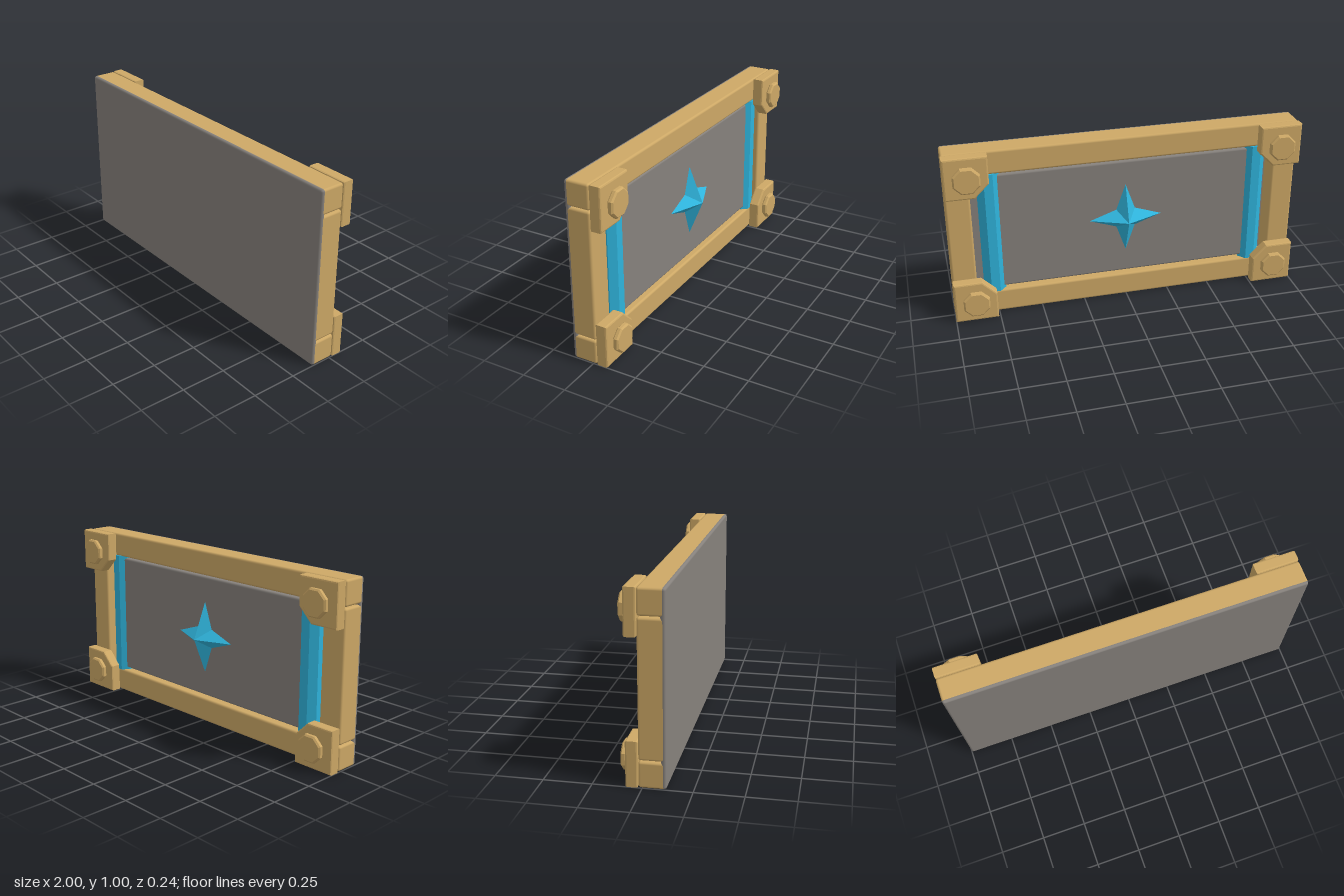
import * as THREE from 'three';
import { RoundedBoxGeometry } from 'three/addons/geometries/RoundedBoxGeometry.js';

const mat = (color, flatShading = false) => {
  const m = new THREE.MeshStandardMaterial({ color });
  m.flatShading = flatShading;
  return m;
};
const wood = mat(0xcda866);
const woodFlat = mat(0xcda866, true);
const stone = mat(0x86817c);
const blue = mat(0x2fb4dc, true);

export function createModel() {
  const root = new THREE.Group();
  const add = (name, geometry, material, x = 0, y = 0, z = 0) => {
    const mesh = new THREE.Mesh(geometry, material);
    mesh.name = name;
    mesh.position.set(x, y, z);
    root.add(mesh);
    return mesh;
  };
  // Rounded box given by its limits
  const block = (name, material, r, x0, x1, y0, y1, z0, z1) => add(name,
    new RoundedBoxGeometry(x1 - x0, y1 - y0, z1 - z0, 2, r), material,
    (x0 + x1) / 2, (y0 + y1) / 2, (z0 + z1) / 2);

  // Front slab and the raised panel behind it
  block('frontSlab', stone, 0.013, -1, 1, 0, 1, 0.092, 0.12);
  block('backPanel', stone, 0.012, -0.8, 0.8, 0.15, 0.85, 0, 0.11);

  // Frame rails
  block('bottomRail', wood, 0.013, -1, 1, 0, 0.137, -0.02, 0.116);
  block('topRail', wood, 0.013, -1, 1, 0.863, 1, -0.02, 0.116);

  // Bolt head profile, turned with eight sides
  const boltProfile = [[0, 0], [0.07, 0], [0.079, 0.008], [0.079, 0.024], [0.07, 0.032], [0, 0.032]]
    .map(([r, h]) => new THREE.Vector2(r, h));
  const boltGeometry = new THREE.LatheGeometry(boltProfile, 8, Math.PI / 8);
  boltGeometry.rotateX(-Math.PI / 2);

  for (const sx of [-1, 1]) {
    const side = sx > 0 ? 'left' : 'right';

    // Side posts and octagonal blue bars
    const post = block(side + 'Post', wood, 0.013, 0.863, 1, 0.143, 0.857, -0.02, 0.116);
    post.position.x *= sx;
    const bar = new THREE.CylinderGeometry(0.065, 0.065, 0.73, 8, 1, false, Math.PI / 8);
    add(side + 'Bar', bar, blue, sx * 0.76, 0.5, 0.035);

    // Corner plates with a cut inner corner, each with a bolt
    for (const sy of [-1, 1]) {
      const corner = (sy > 0 ? 'top' : 'bottom') + (sx > 0 ? 'Left' : 'Right');
      const outline = [[-0.12, 0.12], [0.12, 0.12], [0.12, -0.12], [-0.04, -0.12], [-0.12, -0.04]]
        .map(([x, y]) => new THREE.Vector2(x * sx, y * sy));
      const plate = new THREE.ExtrudeGeometry(new THREE.Shape(outline), {
        depth: 0.047, bevelThickness: 0.009, bevelSize: 0.009, bevelOffset: -0.009, bevelSegments: 2,
      });
      const cy = 0.5 + sy * 0.38;
      add(corner + 'Plate', plate, woodFlat, sx * 0.88, cy, -0.076);
      add(corner + 'Bolt', boltGeometry, woodFlat, sx * 0.88, cy, -0.088);
    }
  }

  // Four-pointed star rising to a peak
  const starPoints = [];
  const rim = (i) => {
    const r = i % 2 ? 0.078 : 0.212;
    const a = (i * Math.PI) / 4;
    return [r * Math.cos(a), r * Math.sin(a), 0];
  };
  for (let i = 0; i < 8; i++) starPoints.push(...rim(i + 1), ...rim(i), 0, 0, -0.087);
  const star = new THREE.BufferGeometry();
  star.setAttribute('position', new THREE.Float32BufferAttribute(starPoints, 3));
  star.computeVertexNormals();
  add('star', star, blue, 0, 0.5, 0.002);

  return root;
}
